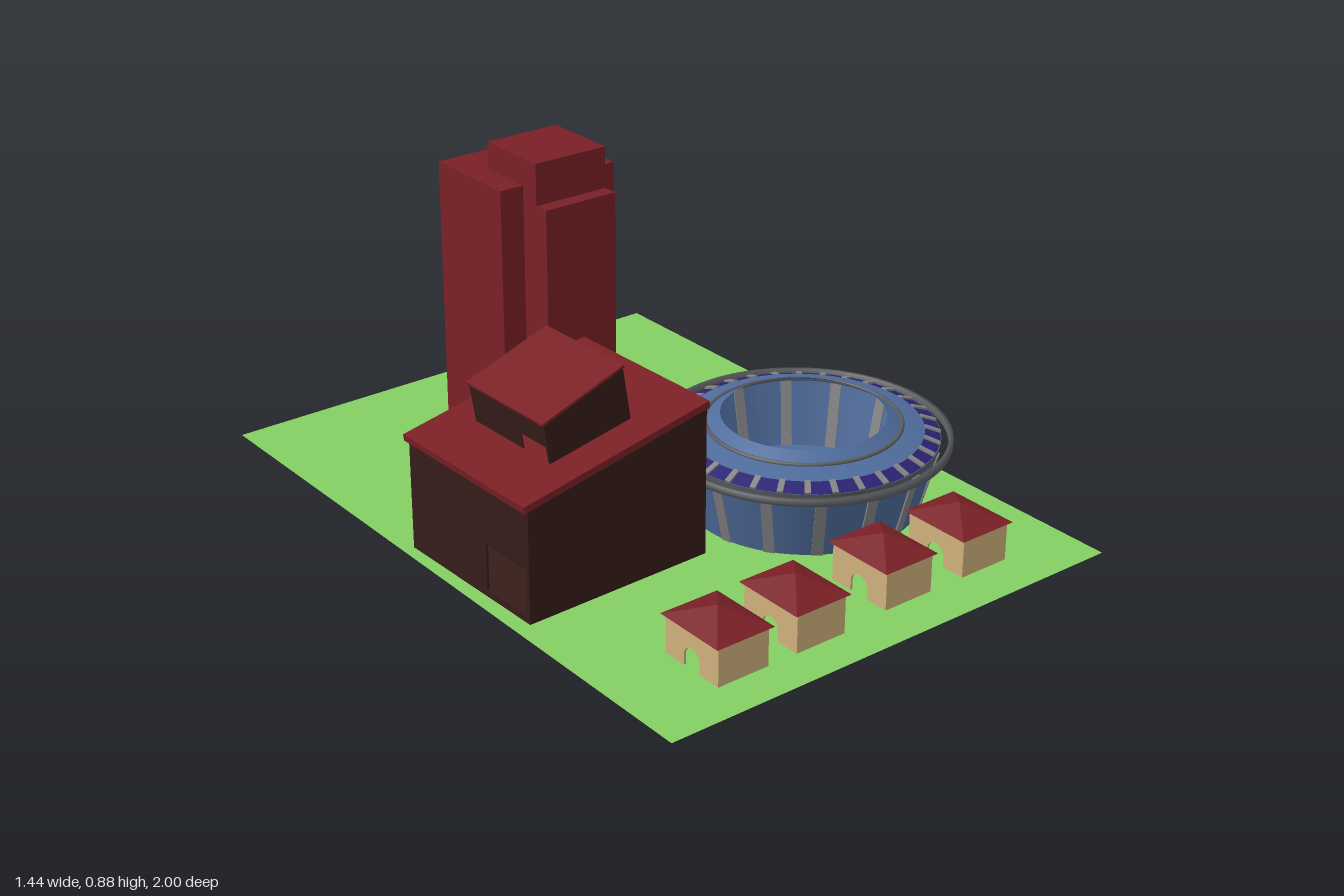
import * as THREE from 'three';

const mat = (color, side = THREE.FrontSide) => {
  const m = new THREE.MeshStandardMaterial({ side });
  m.color.setHex(color);
  return m;
};
const RED = mat(0x7a2026), BROWN = mat(0x361c19), TAN = mat(0xcfb17c);
const BLUE = mat(0x4f6c9c, THREE.DoubleSide), NAVY = mat(0x2b2272, THREE.DoubleSide);
const GREY = mat(0x858588), DARK = mat(0x5a5c60, THREE.DoubleSide);

function add(parent, name, geometry, material, x = 0, y = 0, z = 0) {
  const m = new THREE.Mesh(geometry, material);
  m.name = name;
  m.position.set(x, y, z);
  parent.add(m);
  return m;
}

function group(parent, name, x = 0, y = 0, z = 0) {
  const g = new THREE.Group();
  g.name = name;
  g.position.set(x, y, z);
  parent.add(g);
  return g;
}

// Box given by its limits
function block(parent, name, material, [x0, x1], [y0, y1], [z0, z1]) {
  return add(parent, name, new THREE.BoxGeometry(x1 - x0, y1 - y0, z1 - z0), material,
    (x0 + x1) / 2, (y0 + y1) / 2, (z0 + z1) / 2);
}

const poly = pts => new THREE.Shape(pts.map(p => new THREE.Vector2(...p)));
const extrude = (shape, depth) =>
  new THREE.ExtrudeGeometry(shape, { depth, bevelEnabled: false, curveSegments: 8 });

// Hollow room with a floor, a height at each side and a door hole in the -x wall
function room(parent, w, d, hl, hr, door, material) {
  const t = 0.006, a = w / 2, b = d / 2;
  const end = extrude(poly([[-a, 0], [a, 0], [a, hr], [-a, hl]]), t);
  add(parent, 'frontWall', end, material, 0, 0, b - t);
  add(parent, 'backWall', end, material, 0, 0, -b);
  block(parent, 'leftWall', material, [a - t, a], [0, hr], [-b + t, b - t]);
  const side = poly([[-b + t, 0], [b - t, 0], [b - t, hl], [-b + t, hl]]);
  side.holes.push(door);
  add(parent, 'doorWall', extrude(side, t).rotateY(-Math.PI / 2), material, -a + t, 0, 0);
  block(parent, 'floor', material, [-a + t, a - t], [0, 0.004], [-b + t, b - t]);
}

// Shed with a single sloping roof slab
function shed(parent, name) {
  const g = group(parent, name);
  room(g, 0.57, 0.51, 0.32, 0.425, poly([[0.075, 0.02], [0.075, 0.15], [0.24, 0.15], [0.24, 0.02]]), BROWN);
  const roof = extrude(poly([[-0.297, 0.315], [0.293, 0.423], [0.29, 0.442], [-0.3, 0.334]]), 0.518);
  add(g, 'slopingRoof', roof, RED, 0, 0, -0.259);
  return g;
}

function house(parent, x, z) {
  const g = group(parent, 'house', x, 0, z);
  const door = new THREE.Path();
  door.moveTo(-0.03, 0.008);
  door.lineTo(-0.03, 0.04);
  door.absarc(0, 0.04, 0.03, Math.PI, 0, true);
  door.lineTo(0.03, 0.008);
  door.closePath();
  room(g, 0.156, 0.2, 0.122, 0.122, door, TAN);
  const roof = new THREE.ConeGeometry(Math.SQRT1_2, 1, 4, 1).rotateY(Math.PI / 4)
    .scale(0.178, 0.043, 0.218).toNonIndexed();
  roof.computeVertexNormals();
  add(g, 'hipRoof', roof, RED, 0, 0.1435, 0);
}

function lathe(parent, name, pts, material) {
  return add(parent, name,
    new THREE.LatheGeometry(pts.map(p => new THREE.Vector2(...p)), 64), material);
}

// Straight bars repeated round the axis, each running from profile point p to q
function bars(parent, name, count, p, q, width, thick) {
  const dr = q[0] - p[0], dy = q[1] - p[1];
  const geometry = new THREE.BoxGeometry(thick, Math.hypot(dr, dy), width);
  geometry.rotateZ(-Math.atan2(dr, dy)).translate((p[0] + q[0]) / 2, (p[1] + q[1]) / 2, 0);
  for (let i = 0; i < count; i++)
    add(parent, name, geometry, GREY).rotation.y = (i + 0.5) / count * Math.PI * 2;
}

export function createModel() {
  const model = new THREE.Group();
  model.name = 'townBlock';

  // Ground sheet
  add(model, 'ground', new THREE.PlaneGeometry(1.44, 2).rotateX(-Math.PI / 2),
    mat(0x84cf64, THREE.DoubleSide), 0, 0.012, 0);

  // Tower of three blocks
  const tower = group(model, 'tower');
  block(tower, 'towerMain', RED, [-0.165, 0.22], [0, 0.795], [-0.76, -0.455]);
  block(tower, 'towerFront', RED, [-0.09, 0.145], [0.025, 0.753], [-0.455, -0.348]);
  block(tower, 'towerTop', RED, [-0.09, 0.145], [0.75, 0.875], [-0.625, -0.393]);

  // Large shed with a tilted smaller one on its roof
  const hall = group(model, 'hall', -0.403, 0.02, 0.126);
  hall.rotation.y = 0.026;
  shed(hall, 'hallBody');
  const loft = shed(hall, 'hallLoft');
  loft.scale.set(0.455, 0.4, 0.62);
  loft.rotation.z = 0.164;
  loft.position.set(-0.012, 0.37, 0.002);

  // Stadium bowl, open in the middle
  const stadium = group(model, 'stadium', 0.297, 0, 0.287);
  lathe(stadium, 'bowlWall', [[0.32, 0.015], [0.37, 0.205]], BLUE);
  add(stadium, 'pitch', new THREE.CircleGeometry(0.32, 64).rotateX(-Math.PI / 2), BLUE, 0, 0.016, 0);
  bars(stadium, 'wallRib', 16, [0.32, 0.016], [0.37, 0.205], 0.03, 0.008);
  lathe(stadium, 'rimEdge', [[0.37, 0.205], [0.372, 0.22]], DARK);
  lathe(stadium, 'windowBand', [[0.37, 0.22], [0.327, 0.235]], NAVY);
  bars(stadium, 'bandSpoke', 32, [0.37, 0.221], [0.327, 0.236], 0.016, 0.008);
  lathe(stadium, 'lowerRoof', [[0.327, 0.237], [0.29, 0.246], [0.265, 0.25]], BLUE);
  add(stadium, 'roofRing', new THREE.TorusGeometry(0.266, 0.006, 8, 64).rotateX(Math.PI / 2), DARK, 0, 0.251, 0);
  lathe(stadium, 'upperRoof', [[0.265, 0.25], [0.225, 0.273]], BLUE);
  lathe(stadium, 'outerRing',
    [[0.392, 0.202], [0.405, 0.202], [0.405, 0.221], [0.392, 0.221], [0.392, 0.202]], DARK);

  // Row of small houses
  for (const [x, z] of [[-0.41, 0.785], [-0.163, 0.785], [0.147, 0.768], [0.415, 0.768]])
    house(model, x, z);

  return model;
}
